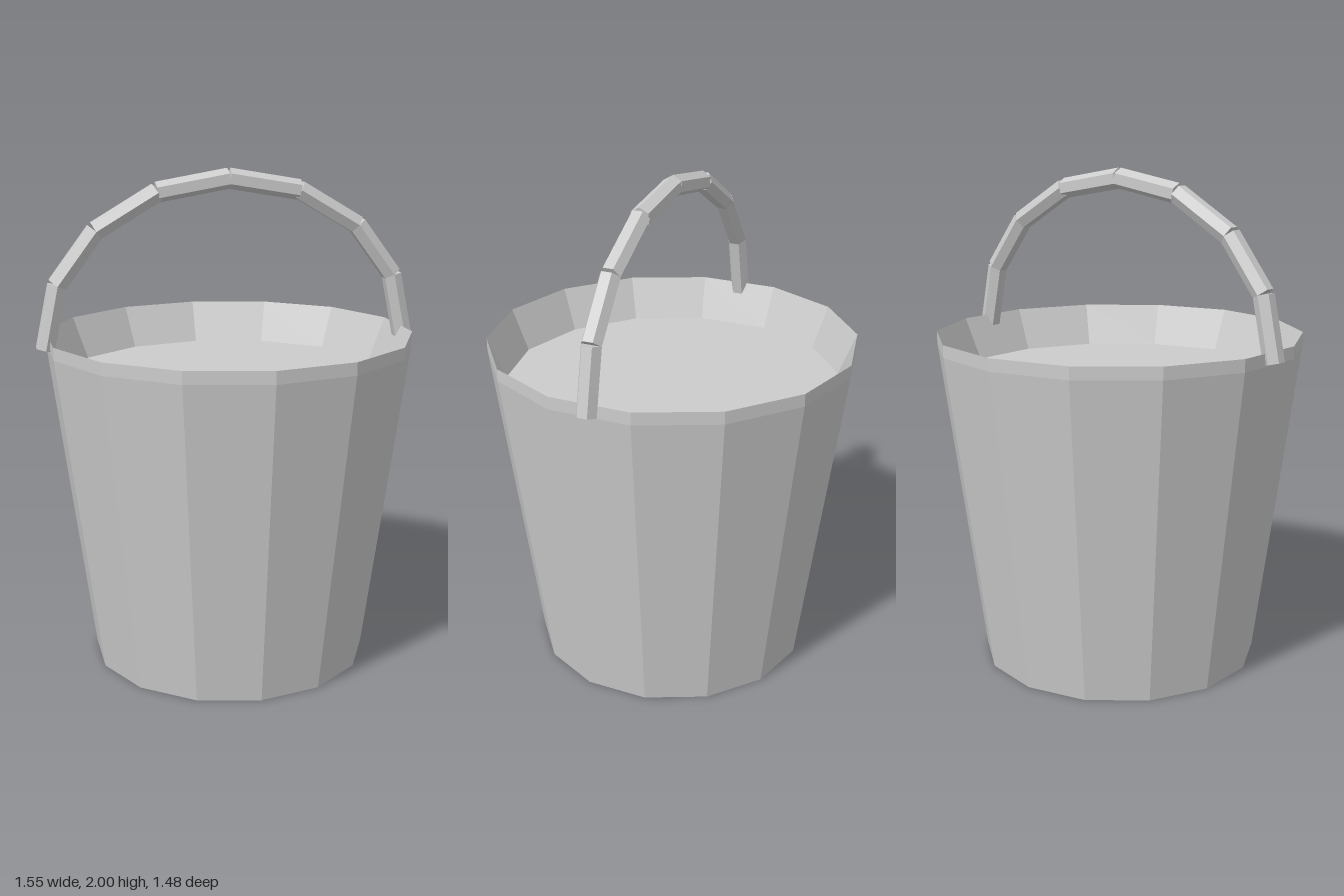
import * as THREE from 'three';

const SIDES = 14;

// Split shared vertices so every facet is shaded flat
function faceted(geometry) {
  const g = geometry.toNonIndexed();
  g.computeVertexNormals();
  return g;
}

export function createModel() {
  const model = new THREE.Group();
  model.name = 'bucket';
  const grey = new THREE.MeshStandardMaterial({ color: 0xcccccc });
  grey.name = 'grey metal';

  const add = (name, geometry, parent = model) => {
    const mesh = new THREE.Mesh(faceted(geometry), grey);
    mesh.name = name;
    parent.add(mesh);
    return mesh;
  };

  const disc = (radius, y, up) => new THREE.CircleGeometry(radius, SIDES, Math.PI / 2)
    .rotateX(up ? -Math.PI / 2 : Math.PI / 2).translate(0, y, 0);

  // Tapered wall with a short upright rim and sloping inner lip
  const profile = [[0.565, 0], [0.74, 1.3], [0.74, 1.35], [0.67, 1.18]]
    .map(([r, y]) => new THREE.Vector2(r, y));
  add('wall', new THREE.LatheGeometry(profile, SIDES));
  add('base', disc(0.565, 0, false));
  add('contents', disc(0.67, 1.18, true));

  // Arched handle made of straight hexagonal links, mirrored left and right
  const handle = new THREE.Group();
  handle.name = 'handle';
  model.add(handle);
  const joints = [[0, 1.96], [0.287, 1.911], [0.53, 1.768], [0.685, 1.562], [0.738, 1.31]];
  for (const side of [1, -1]) {
    for (let i = 0; i < joints.length - 1; i++) {
      const [x0, y0] = joints[i];
      const [x1, y1] = joints[i + 1];
      const dx = (x1 - x0) * side, dy = y1 - y0;
      const link = new THREE.CylinderGeometry(0.041, 0.041, Math.hypot(dx, dy), 6);
      // The two top links carry a ridge along their upper edge
      if (i === 0) link.rotateY(Math.PI / 6);
      const mesh = add('handleLink', link, handle);
      mesh.position.set(side * (x0 + x1) / 2, (y0 + y1) / 2, 0);
      mesh.rotation.z = Math.atan2(-dx, dy);
    }
  }
  return model;
}
